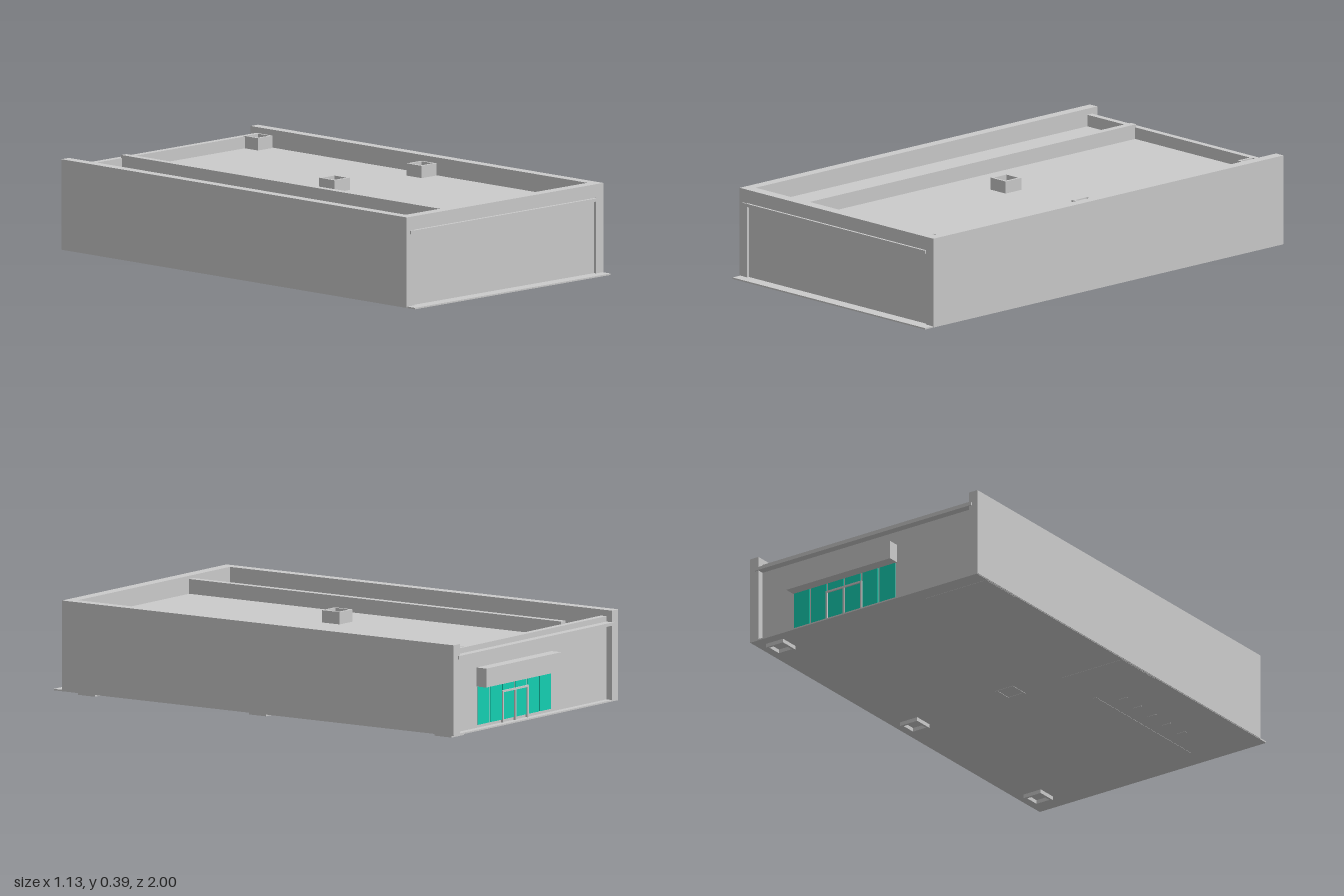
import * as THREE from 'three';

const grey = new THREE.MeshStandardMaterial({ color: 0xcccccc });
const teal = new THREE.MeshStandardMaterial({ color: 0x14d0b2 });

// Box given by its limits on each axis
function block(parent, name, [x0, x1], [y0, y1], [z0, z1], material = grey) {
  const mesh = new THREE.Mesh(new THREE.BoxGeometry(x1 - x0, y1 - y0, z1 - z0), material);
  mesh.position.set((x0 + x1) / 2, (y0 + y1) / 2, (z0 + z1) / 2);
  mesh.name = name;
  parent.add(mesh);
  return mesh;
}

// Open square tube standing upright
function squareTube(parent, name, x, z, size, y0, y1) {
  const h = size / 2, i = h - 0.01;
  const shape = new THREE.Shape([[-h, -h], [h, -h], [h, h], [-h, h]].map(p => new THREE.Vector2(...p)));
  shape.holes.push(new THREE.Path([[-i, -i], [-i, i], [i, i], [i, -i]].map(p => new THREE.Vector2(...p))));
  const geometry = new THREE.ExtrudeGeometry(shape, { depth: y1 - y0, bevelEnabled: false });
  geometry.rotateX(-Math.PI / 2);
  const mesh = new THREE.Mesh(geometry, grey);
  mesh.position.set(x, y0, z);
  mesh.name = name;
  parent.add(mesh);
}

export function createModel() {
  const model = new THREE.Group();
  model.name = 'building';

  // Base slab with a thin lip at the front, and sunken roof deck
  block(model, 'baseSlab', [-0.56, 0.56], [0.016, 0.022], [-0.98, 1]);
  block(model, 'roofDeck', [-0.525, 0.525], [0.3, 0.312], [-0.95, 0.92]);

  // Long side walls rising above the roof as parapets
  for (const s of [-1, 1]) {
    const x = s < 0 ? [-0.563, -0.52] : [0.52, 0.563];
    block(model, 'sideWall', x, [0.018, 0.385], [-0.98, 0.957]);
  }

  // Front wall, slightly recessed, with its parapet and bar
  block(model, 'frontWall', [-0.52, 0.52], [0.018, 0.33], [0.91, 0.947]);
  block(model, 'frontParapet', [-0.52, 0.52], [0.33, 0.385], [0.91, 0.957]);
  block(model, 'frontBar', [-0.545, 0.52], [0.315, 0.328], [0.94, 0.962]);

  // Back wall, lower and set in between the ends of the side walls
  block(model, 'backWall', [-0.52, 0.52], [0.018, 0.36], [-0.952, -0.925]);
  block(model, 'backBar', [-0.535, 0.535], [0.325, 0.338], [-0.985, -0.94]);

  // Divider along the roof
  block(model, 'roofDivider', [-0.272, -0.242], [0.31, 0.372], [-0.93, 0.915]);

  // Hollow columns: tops above the roof, feet below the slab
  for (const z of [0.87, 0.025, -0.893]) {
    squareTube(model, 'columnTop', 0.473, z, 0.084, 0.31, 0.362);
    squareTube(model, 'columnFoot', 0.473, z, 0.084, 0, 0.018);
  }
  squareTube(model, 'centreColumnTop', -0.01, 0.01, 0.088, 0.31, 0.362);
  squareTube(model, 'centreColumnFoot', -0.01, 0.01, 0.088, 0.0145, 0.018);

  // Shallow panels under the slab
  for (const z of [[0.02, 0.25], [-0.91, -0.71]]) {
    block(model, 'underPanel', [-0.555, -0.255], [0.015, 0.018], z);
  }
  block(model, 'underRib', [-0.26, -0.245], [0.015, 0.018], [0.25, 0.9]);
  for (let i = 0; i < 5; i++) {
    const z = 0.32 + i * 0.1;
    block(model, 'underTab', [-0.36, -0.32], [0.0145, 0.018], [z, z + 0.01]);
  }

  // Sign board on the back
  block(model, 'signBoard', [-0.145, 0.368], [0.19, 0.267], [-1, -0.95]);

  // Glazed entrance: six panes, the third and fourth from the left end are doors
  const entrance = new THREE.Group();
  entrance.name = 'entrance';
  model.add(entrance);
  const pitch = 0.0845;
  for (let i = 0; i < 6; i++) {
    const x0 = 0.366 - (i + 1) * pitch, x1 = x0 + pitch;
    block(entrance, 'glassPane', [x0 + 0.004, x1 - 0.004], [0.034, 0.188], [-0.956, -0.95], teal);
  }
  const doorEnd = 0.366 - 2 * pitch, doorStart = doorEnd - 2 * pitch;
  for (const x of [doorStart, (doorStart + doorEnd) / 2, doorEnd]) {
    block(entrance, 'doorPost', [x - 0.004, x + 0.004], [0.022, 0.15], [-0.962, -0.95]);
  }
  block(entrance, 'doorHead', [doorStart - 0.004, doorEnd + 0.004], [0.145, 0.153], [-0.962, -0.95]);

  return model;
}
